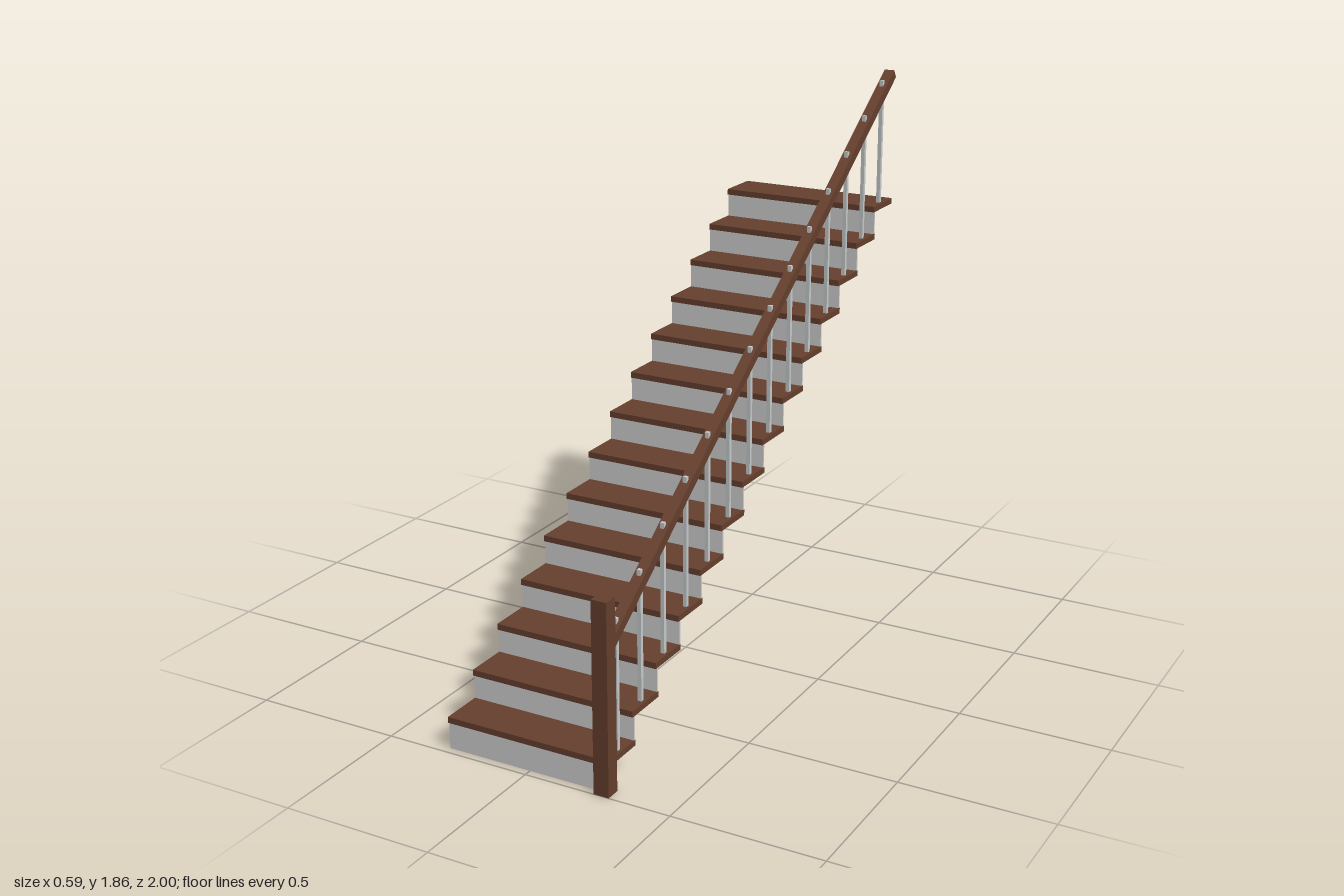
import * as THREE from 'three';

export function createModel() {
  const model = new THREE.Group();
  model.name = 'staircase';

  const wood = new THREE.MeshStandardMaterial({ color: 0x66402d });
  wood.name = 'brown wood';
  const paint = new THREE.MeshStandardMaterial({ color: 0xd2d2d2 });
  paint.name = 'pale grey paint';
  const metal = new THREE.MeshStandardMaterial({ color: 0xc8cccc });
  metal.name = 'light metal';

  // Box given by its lower and upper limits on each axis
  function box(name, material, [x0, x1], [y0, y1], [z0, z1], parent = model) {
    const mesh = new THREE.Mesh(new THREE.BoxGeometry(x1 - x0, y1 - y0, z1 - z0), material);
    mesh.position.set((x0 + x1) / 2, (y0 + y1) / 2, (z0 + z1) / 2);
    mesh.name = name;
    parent.add(mesh);
    return mesh;
  }

  const steps = 14, rise = 0.0992, run = 0.1404;
  const depth = 0.155, thick = 0.02, firstTop = 0.11;
  const width = [-0.293, 0.283];
  const railX = 0.267, half = 0.0065;

  // Each step: tread, riser below its front edge, and one baluster
  for (let i = 0; i < steps; i++) {
    const step = new THREE.Group();
    step.name = `step${i + 1}`;
    const top = firstTop + i * rise;
    const front = 0.98 - i * run;
    box('tread', wood, width, [top - thick, top], [front - depth, front], step);
    const riserBase = i === 0 ? 0 : top - rise;
    box('riser', paint, width, [riserBase, top - thick], [front - 0.012, front - 0.006], step);
    const z = 0.905 - i * run;
    box('baluster', metal, [railX - half, railX + half], [top, top + 0.43], [z - half, z + half], step);
    model.add(step);
  }

  // Newel post at the foot of the stairs
  box('newelPost', wood, [0.241, 0.293], [0, 0.63], [0.95, 1]);

  // Sloping handrail, running from inside the newel to the top
  const start = new THREE.Vector3(railX, 0.464, 0.965);
  const end = new THREE.Vector3(railX, 1.844, -0.99);
  const rail = new THREE.Mesh(new THREE.BoxGeometry(0.036, 0.032, start.distanceTo(end)), wood);
  rail.position.copy(start).add(end).multiplyScalar(0.5);
  rail.rotation.x = Math.atan2(end.y - start.y, start.z - end.z);
  rail.name = 'handrail';
  model.add(rail);

  return model;
}
